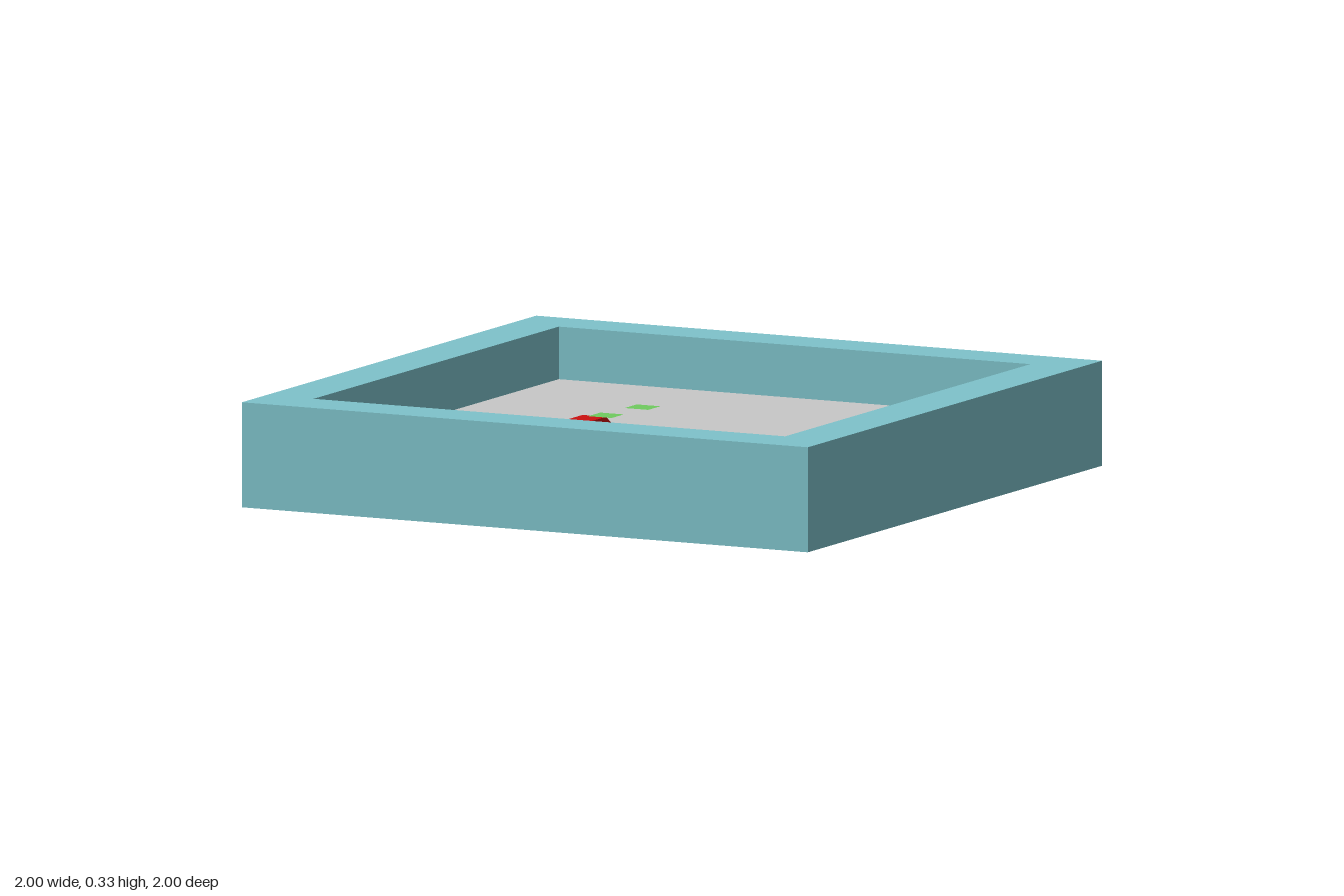
import * as THREE from 'three';

const UNIT = 1 / 12;
const FLOOR = 2 * UNIT;
const INNER = 10 * UNIT;

function material(name, color, extra = {}) {
  const m = new THREE.MeshStandardMaterial({ color, ...extra });
  m.name = name;
  return m;
}

export function createModel() {
  const group = new THREE.Group();
  const teal = material('teal', 0x7ec3cb);
  const grey = material('grey', 0xc8c8c8);
  const red = material('red', 0xcc1010);
  const green = material('green', 0x6fcb5f, { side: THREE.DoubleSide });

  const add = (name, geometry, mat) => {
    const mesh = new THREE.Mesh(geometry, mat);
    mesh.name = name;
    group.add(mesh);
    return mesh;
  };

  // Square border wall with an open middle
  const square = (Path, r) =>
    new Path([[-r, -r], [r, -r], [r, r], [-r, r]].map(([x, y]) => new THREE.Vector2(x, y)));
  const border = square(THREE.Shape, 1);
  border.holes.push(square(THREE.Path, INNER));
  add('borderWall',
    new THREE.ExtrudeGeometry(border, { depth: 4 * UNIT, bevelEnabled: false }).rotateX(-Math.PI / 2),
    teal);

  // Floor slab filling the lower half of the border
  add('floor', new THREE.BoxGeometry(2 * INNER, FLOOR, 2 * INNER).translate(0, FLOOR / 2, 0), grey);

  // Ramps: a side profile in (z, height above floor), extruded across x
  const addRamp = (name, xMax, profile) => {
    const shape = new THREE.Shape(profile.map(([z, h]) => new THREE.Vector2(z, FLOOR + h)));
    const geometry = new THREE.ExtrudeGeometry(shape, { depth: UNIT, bevelEnabled: false });
    add(name, geometry.rotateY(-Math.PI / 2).translate(xMax, 0, 0), red);
  };
  const H = 0.056;
  addRamp('doubleRamp', -0.179, [[0.022, 0], [0.353, 0], [0.27, H], [0.103, H]]);
  addRamp('wallRamp', INNER, [[-0.057, 0], [0.1, 0], [0.025, H], [-0.057, H]]);

  // Floating square tiles
  [[-0.058, 0.26, 0.089], [-0.136, 0.242, 0.187]].forEach(([x, y, z], i) => {
    const tile = add(`tile${i + 1}`, new THREE.PlaneGeometry(UNIT, UNIT).rotateX(-Math.PI / 2), green);
    tile.position.set(x, y, z);
  });

  return group;
}
